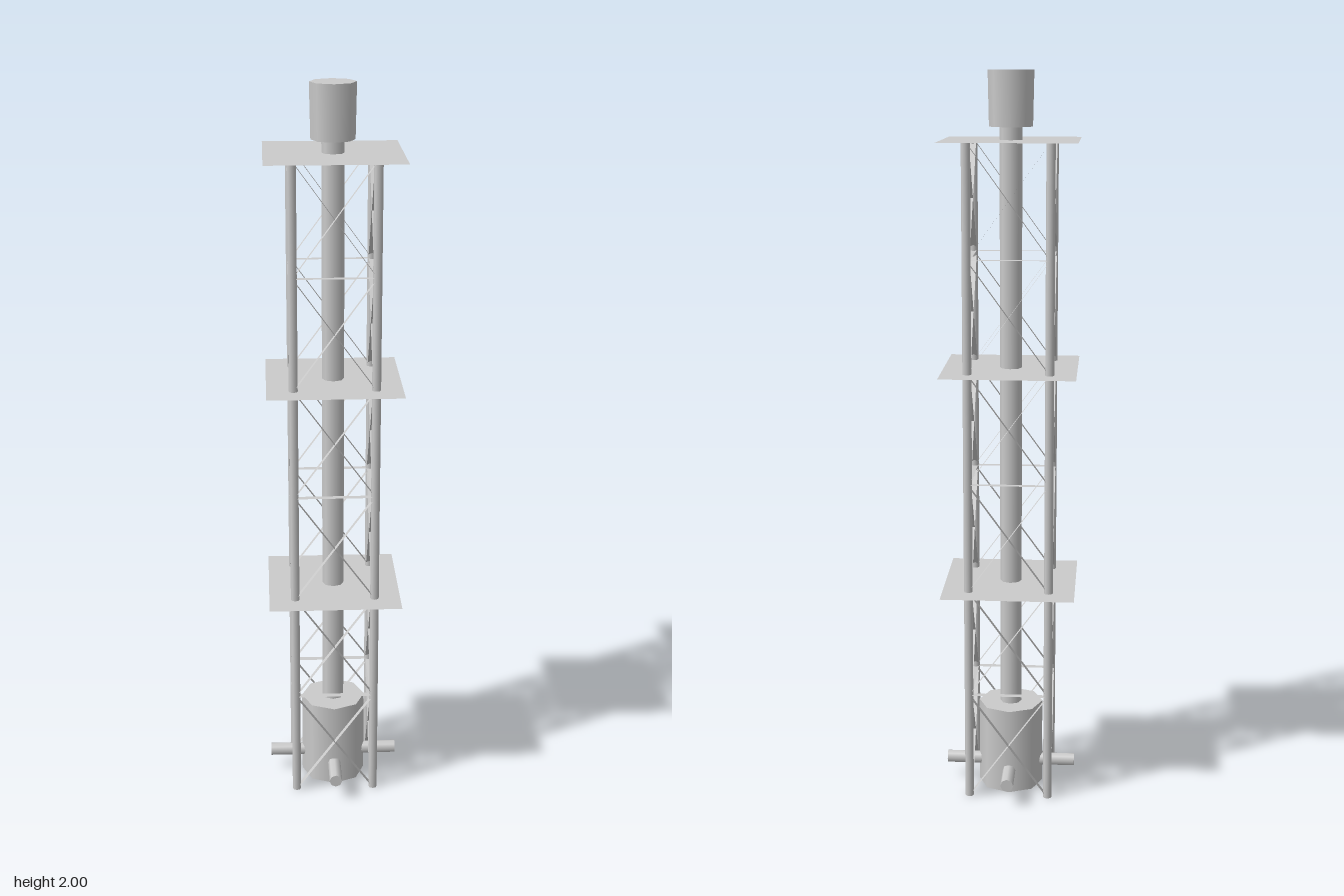
import * as THREE from 'three';

const LEG = 0.11;     // leg offset from the axis
const TIER = 0.607;   // height of one tower bay
const BAYS = 3;

export function createModel() {
  const tower = new THREE.Group();
  tower.name = 'tower';
  const solid = new THREE.MeshStandardMaterial({ color: 0xcccccc });
  const sheet = new THREE.MeshStandardMaterial({ color: 0xcccccc, side: THREE.DoubleSide });

  const add = (parent, name, geometry, material = solid) => {
    const mesh = new THREE.Mesh(geometry, material);
    mesh.name = name;
    parent.add(mesh);
    return mesh;
  };

  // upright eight-sided cylinder between two heights
  const column = (name, rTop, rBottom, y0, y1, x = 0, z = 0) => {
    const mesh = add(tower, name, new THREE.CylinderGeometry(rTop, rBottom, y1 - y0, 8));
    mesh.position.set(x, (y0 + y1) / 2, z);
  };

  // central parts
  column('baseDrum', 0.09, 0.09, 0, 0.245);
  column('centralPipe', 0.03, 0.03, 0.2, 1.87);
  column('topCap', 0.061, 0.058, 1.855, 2);

  // corner legs
  for (const x of [-LEG, LEG])
    for (const z of [-LEG, LEG]) column('leg', 0.012, 0.012, 0, TIER * BAYS, x, z);

  // thin square platforms
  for (let i = 1; i <= BAYS; i++) {
    const deck = add(tower, 'platform', new THREE.PlaneGeometry(0.363, 0.363), sheet);
    deck.rotation.x = -Math.PI / 2;
    deck.position.y = TIER * i;
  }

  // flat strip from one leg to the next, its width across the tower face
  const strip = (side, name, y0, y1) => {
    const rise = y1 - y0;
    const geometry = new THREE.PlaneGeometry(Math.hypot(2 * LEG, rise), 0.018);
    geometry.rotateX(-Math.PI / 2);
    geometry.rotateZ(Math.atan2(rise, 2 * LEG));
    geometry.translate(0, (y0 + y1) / 2, LEG);
    add(side, name, geometry, sheet);
  };

  // four identical sides: bracing and one outlet pipe each
  for (let k = 0; k < 4; k++) {
    const side = new THREE.Group();
    side.name = 'towerSide';
    side.rotation.y = k * Math.PI / 2;
    tower.add(side);

    for (let i = 0; i < BAYS; i++) {
      const low = TIER * i, mid = low + TIER / 2, high = low + TIER;
      strip(side, 'crossbar', mid, mid);
      for (const [a, b] of [[low, mid], [mid, high]]) {
        strip(side, 'diagonalBrace', a, b);
        strip(side, 'diagonalBrace', b, a);
      }
    }

    const pipe = add(side, 'outletPipe', new THREE.CylinderGeometry(0.018, 0.018, 0.12, 8));
    pipe.rotation.x = Math.PI / 2;
    pipe.position.set(0, 0.065, 0.122);
  }
  return tower;
}
